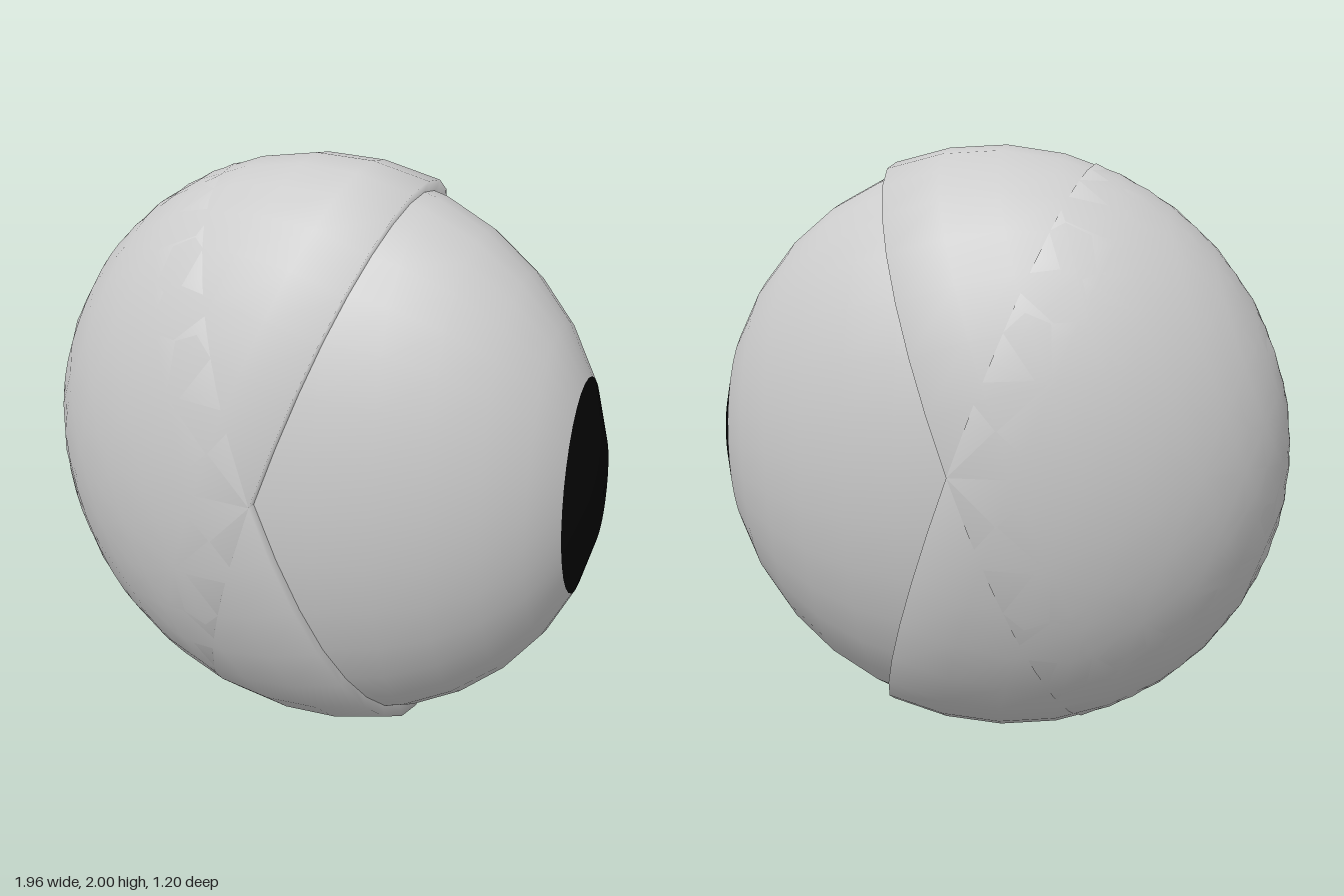
import * as THREE from 'three';

const CENTRE_X = 0.015;
const SEGMENTS = 32;
const EYE = { radius: 0.965, depth: 0.565 / 0.965 };
const PUPIL_ANGLE = Math.PI / 8;
const LID_DEPTH = 0.6;
const LID_TILT = THREE.MathUtils.degToRad(20);

export function createModel() {
  const group = new THREE.Group();
  group.name = 'eye';
  const grey = new THREE.MeshStandardMaterial({ color: 0xcccccc });
  const black = new THREE.MeshStandardMaterial({ color: 0x050505 });

  const add = (name, geometry, material) => {
    const mesh = new THREE.Mesh(geometry, material);
    mesh.name = name;
    mesh.position.set(CENTRE_X, 1, 0);
    group.add(mesh);
  };

  // Band of the flattened eyeball, with its pole pointing to +x
  const eyeBand = (rows, start, length) =>
    new THREE.SphereGeometry(EYE.radius, SEGMENTS, rows, 0, Math.PI * 2, start, length)
      .rotateZ(-Math.PI / 2)
      .scale(1, 1, EYE.depth);
  add('eyeball', eyeBand(14, PUPIL_ANGLE, Math.PI - PUPIL_ANGLE), grey);
  add('pupil', eyeBand(2, 0, PUPIL_ANGLE), black);

  // Eyelid: hemisphere with an inward rim, softly shaded across the edge
  const lid = (tilt) => {
    const profile = [new THREE.Vector2(0.92, 0)];
    for (let i = 0; i <= 8; i++) {
      const a = (i / 8) * Math.PI / 2;
      profile.push(new THREE.Vector2(i === 8 ? 0 : Math.cos(a), Math.sin(a)));
    }
    return new THREE.LatheGeometry(profile, SEGMENTS)
      .rotateZ(Math.PI / 2 + tilt)
      .scale(1, 1, LID_DEPTH);
  };
  add('upperEyelid', lid(-LID_TILT), grey);
  add('lowerEyelid', lid(LID_TILT), grey);

  return group;
}
